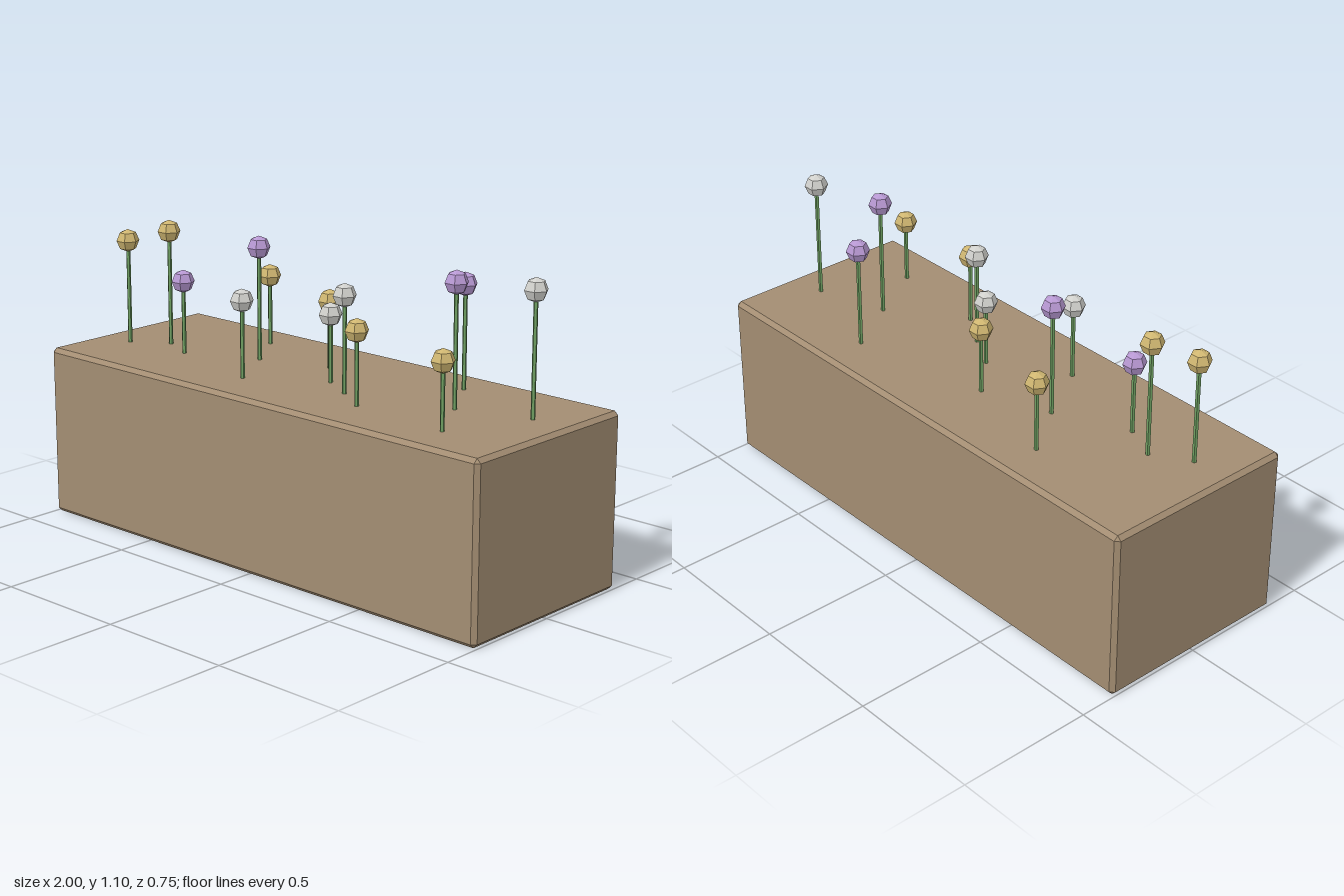
import * as THREE from 'three';
import { ConvexGeometry } from 'three/addons/geometries/ConvexGeometry.js';

const material = (name, color) => {
  const m = new THREE.MeshStandardMaterial({ color, flatShading: true });
  m.name = name;
  return m;
};

// Box with a narrow flat chamfer along every edge
function chamferedBox(w, h, d, c) {
  const points = [];
  for (const sx of [-1, 1]) for (const sy of [-1, 1]) for (const sz of [-1, 1]) {
    const x = w / 2, y = h / 2, z = d / 2;
    points.push(
      new THREE.Vector3(sx * x, sy * (y - c), sz * (z - c)),
      new THREE.Vector3(sx * (x - c), sy * y, sz * (z - c)),
      new THREE.Vector3(sx * (x - c), sy * (y - c), sz * z));
  }
  return new ConvexGeometry(points);
}

export function createModel() {
  const model = new THREE.Group();
  model.name = 'flowerPlanter';

  const brown = material('planterBrown', 0xa38d72);
  const green = material('stemGreen', 0x6fa062);
  const petals = {
    gold: material('flowerGold', 0xcfb671),
    purple: material('flowerPurple', 0xb798d2),
    white: material('flowerWhite', 0xd0d0cc),
  };

  // Planter block
  const H = 0.625;
  const planter = new THREE.Mesh(chamferedBox(2, H, 0.745, 0.015), brown);
  planter.name = 'planter';
  planter.position.y = H / 2;
  model.add(planter);

  // Flowers, evenly spaced along x: [colour, head height, z]
  const flowers = [
    ['gold', 1.005, 0.117], ['gold', 1.045, 0.035], ['purple', 0.89, 0.093],
    ['gold', 0.88, -0.217], ['purple', 1.033, -0.028], ['white', 0.9, 0.19],
    ['gold', 0.868, -0.112], ['white', 0.866, 0.025], ['white', 0.966, 0.098],
    ['gold', 0.883, 0.182], ['purple', 0.993, -0.217], ['purple', 1.054, -0.01],
    ['gold', 0.857, 0.21], ['white', 1.057, -0.091],
  ];
  const headGeometry = new THREE.SphereGeometry(0.042, 6, 4);
  const base = H - 0.01;
  flowers.forEach(([colour, y, z], i) => {
    const flower = new THREE.Group();
    flower.name = 'flower' + (i + 1);
    flower.position.set(-0.852 + i * 0.1311, 0, z);

    const stem = new THREE.Mesh(new THREE.CylinderGeometry(0.008, 0.008, y - base, 5), green);
    stem.name = 'stem';
    stem.position.y = (y + base) / 2;

    const head = new THREE.Mesh(headGeometry, petals[colour]);
    head.name = 'flowerHead';
    head.position.y = y;

    flower.add(stem, head);
    model.add(flower);
  });
  return model;
}
